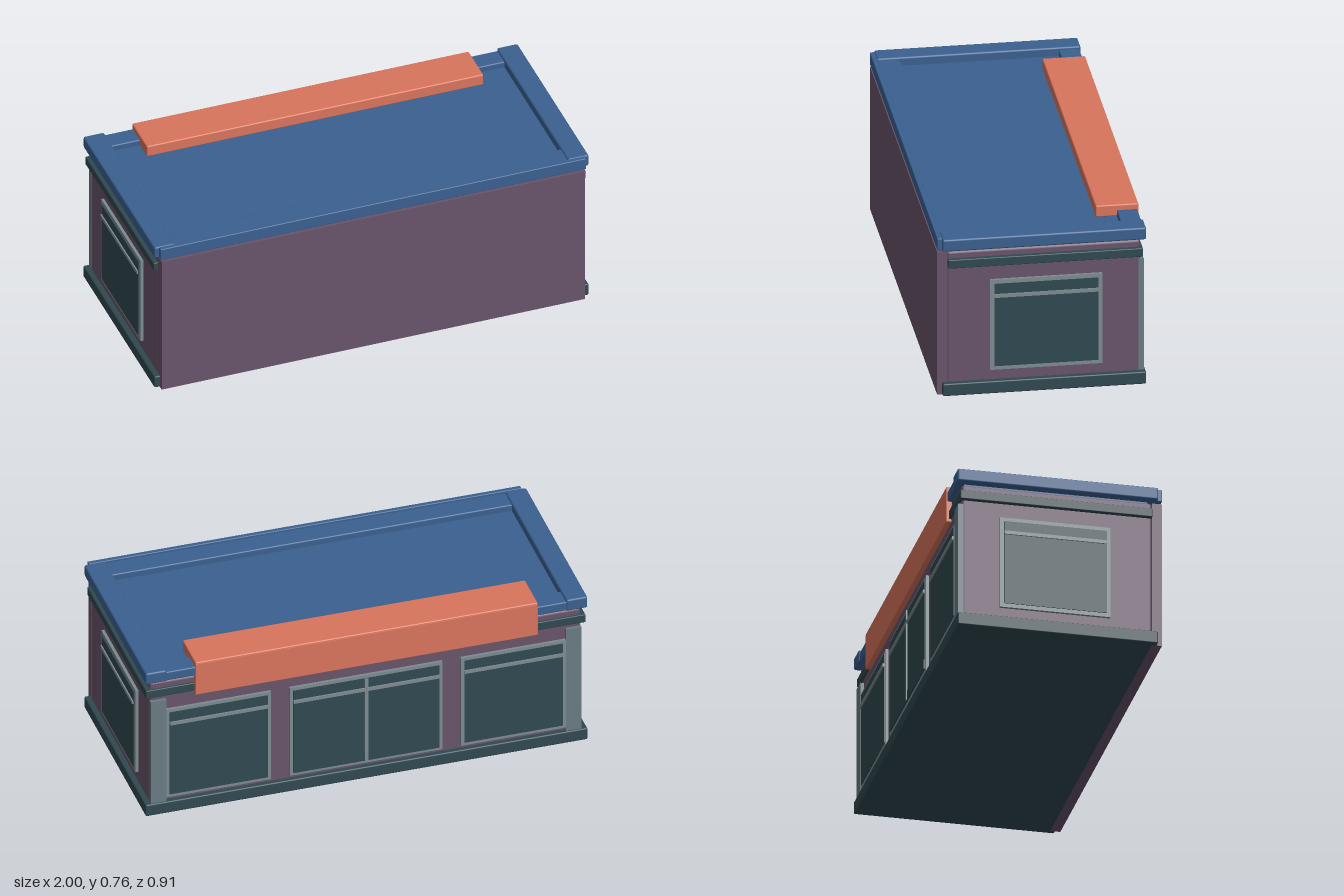
import * as THREE from 'three';
import { RoundedBoxGeometry } from 'three/addons/geometries/RoundedBoxGeometry.js';

const mat = (color) => new THREE.MeshStandardMaterial({ color });

export function createModel() {
  const model = new THREE.Group();
  model.name = 'shopBuilding';
  const wall = mat(0x68536a), roof = mat(0x3a6090), dark = mat(0x2f4850);
  const trim = mat(0x7c8b90), post = mat(0x687b82), awning = mat(0xd9745c);

  // Box given by its limits on each axis, with optional softened edges
  function box(name, material, [x0, x1], [y0, y1], [z0, z1], r = 0, parent = model) {
    const size = [x1 - x0, y1 - y0, z1 - z0];
    const geo = r ? new RoundedBoxGeometry(...size, 2, r) : new THREE.BoxGeometry(...size);
    const mesh = new THREE.Mesh(geo, material);
    mesh.name = name;
    mesh.position.set((x0 + x1) / 2, (y0 + y1) / 2, (z0 + z1) / 2);
    parent.add(mesh);
    return mesh;
  }

  // Window facing +z with its back on z = 0: border, glass, transom bar
  function makeWindow(name, w, y0, y1, depth, border = 0.018) {
    const g = new THREE.Group();
    g.name = name;
    const h = w / 2, i = h - border;
    const shape = new THREE.Shape();
    shape.moveTo(-h, y0).lineTo(h, y0).lineTo(h, y1).lineTo(-h, y1).closePath();
    const hole = new THREE.Path();
    hole.moveTo(-i, y0 + border).lineTo(-i, y1 - border).lineTo(i, y1 - border).lineTo(i, y0 + border).closePath();
    shape.holes.push(hole);
    const frame = new THREE.Mesh(new THREE.ExtrudeGeometry(shape, { depth: depth * 0.6, bevelEnabled: false }), trim);
    frame.name = 'windowFrame';
    g.add(frame);
    box('glass', dark, [-i, i], [y0 + border, y1 - border], [0, depth * 0.75], 0, g);
    box('transomBar', trim, [-i, i], [0.452, 0.468], [0, depth], 0, g);
    model.add(g);
    return g;
  }

  // Body
  box('walls', wall, [-0.975, 0.975], [0.01, 0.675], [-0.432, 0.412], 0.012);
  box('blankWall', wall, [-0.975, 0.975], [0, 0.675], [0.41, 0.455]);
  box('plinth', dark, [-1, 1], [0, 0.058], [-0.455, 0.433], 0.006);
  box('band', dark, [-0.995, 0.995], [0.602, 0.643], [-0.442, 0.409], 0.004);

  // Roof with raised edges
  box('roofNeck', roof, [-0.96, 0.96], [0.67, 0.69], [-0.418, 0.395]);
  box('roofDeck', roof, [-0.95, 0.95], [0.685, 0.702], [-0.44, 0.43]);
  box('frontParapet', roof, [-0.92, 0.92], [0.685, 0.733], [0.335, 0.435], 0.006);
  box('parapetFace', roof, [-0.98, 0.98], [0.685, 0.742], [0.433, 0.455], 0.004);
  box('backParapet', roof, [-0.92, 0.92], [0.685, 0.73], [-0.45, -0.36], 0.006);

  // Mirrored side parts
  for (const s of [-1, 1]) {
    const span = (a, b) => (s > 0 ? [a, b] : [-b, -a]);
    box('sideParapet', roof, span(0.905, 1), [0.685, 0.742], [-0.455, 0.434], 0.008);
    box('cornerPost', post, span(0.905, 0.975), [0.055, 0.585], [-0.448, -0.425]);

    const side = makeWindow('sideWindow', 0.49, 0.107, 0.533, 0.025);
    side.position.set(s * 0.973, 0, -0.02);
    side.rotation.y = s * Math.PI / 2;

    const shop = makeWindow('shopWindow', 0.475, 0.075, 0.53, 0.025, 0.015);
    shop.position.set(s * 0.667, 0, -0.43);
    shop.rotation.y = Math.PI;
  }

  // Central double entrance
  const door = makeWindow('entrance', 0.69, 0.075, 0.53, 0.025, 0.015);
  door.position.z = -0.43;
  door.rotation.y = Math.PI;
  box('mullion', trim, [-0.008, 0.008], [0.09, 0.515], [0, 0.025], 0, door);
  box('kickPanel', dark, [-0.33, 0.33], [0.09, 0.135], [0, 0.022], 0, door);

  // Sign board folded over the roof edge
  box('signTop', awning, [-0.775, 0.775], [0.702, 0.756], [-0.455, -0.268], 0.006);
  box('signFace', awning, [-0.775, 0.775], [0.588, 0.75], [-0.4555, -0.428], 0.004);

  return model;
}
